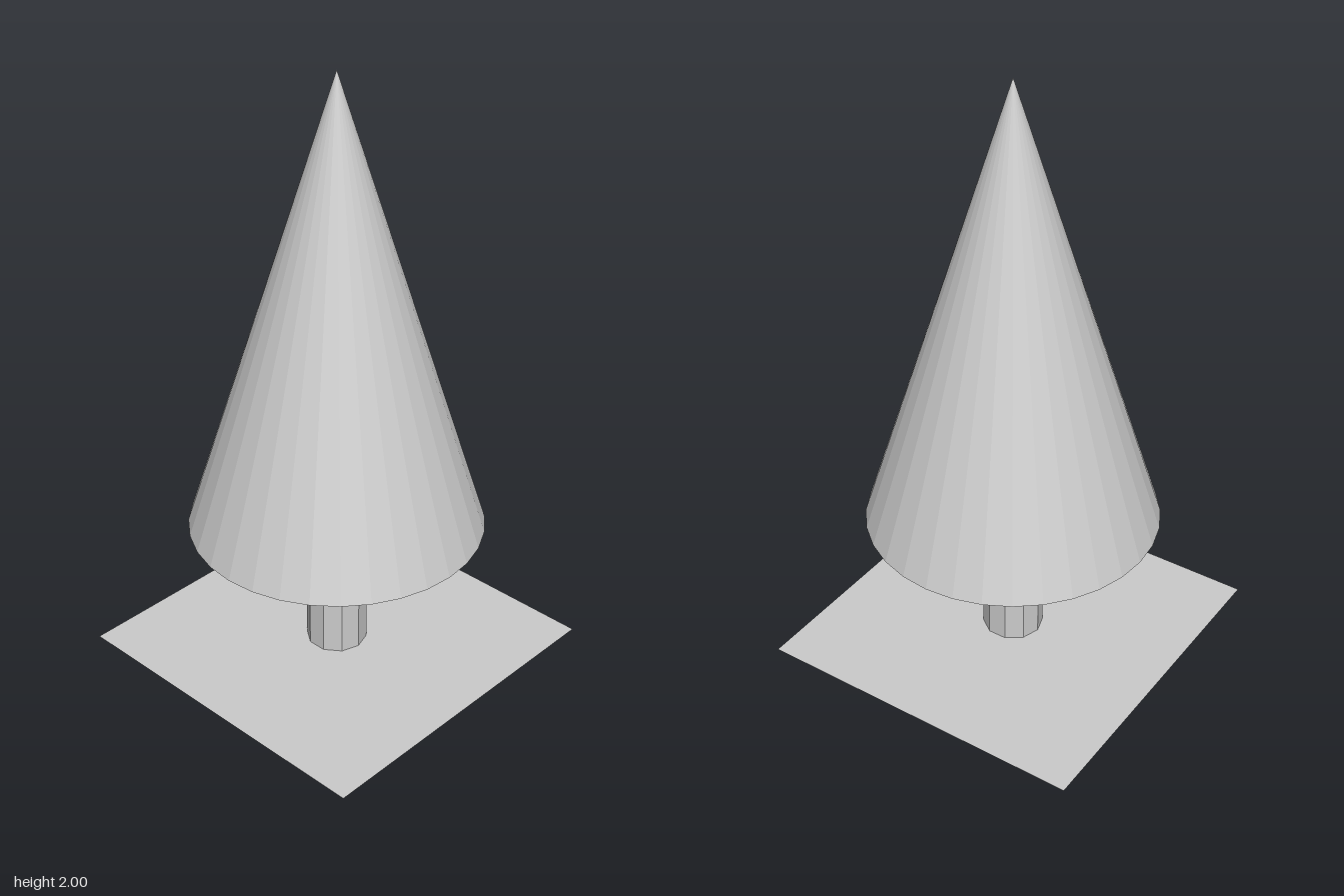
import * as THREE from 'three';

export function createModel() {
  const model = new THREE.Group();
  const grey = new THREE.MeshStandardMaterial({ color: 0xcccccc, flatShading: true });
  const greyDouble = grey.clone();
  greyDouble.side = THREE.DoubleSide;

  const add = (name, geometry, material, y) => {
    const mesh = new THREE.Mesh(geometry, material);
    mesh.name = name;
    mesh.position.y = y;
    model.add(mesh);
  };

  const foliageBase = 0.51;
  const foliageHeight = 2 - foliageBase;

  // Closed 32-sided cone of foliage
  add('foliage', new THREE.ConeGeometry(0.473, foliageHeight, 32), grey, foliageBase + foliageHeight / 2);

  // Ten-sided trunk, reaching slightly below the ground sheet
  add('trunk', new THREE.CylinderGeometry(0.099, 0.099, foliageBase, 10), grey, foliageBase / 2);

  // Thin square ground sheet
  add('groundSheet', new THREE.PlaneGeometry(1.114, 1.114).rotateX(-Math.PI / 2), greyDouble, 0.05);

  return model;
}
